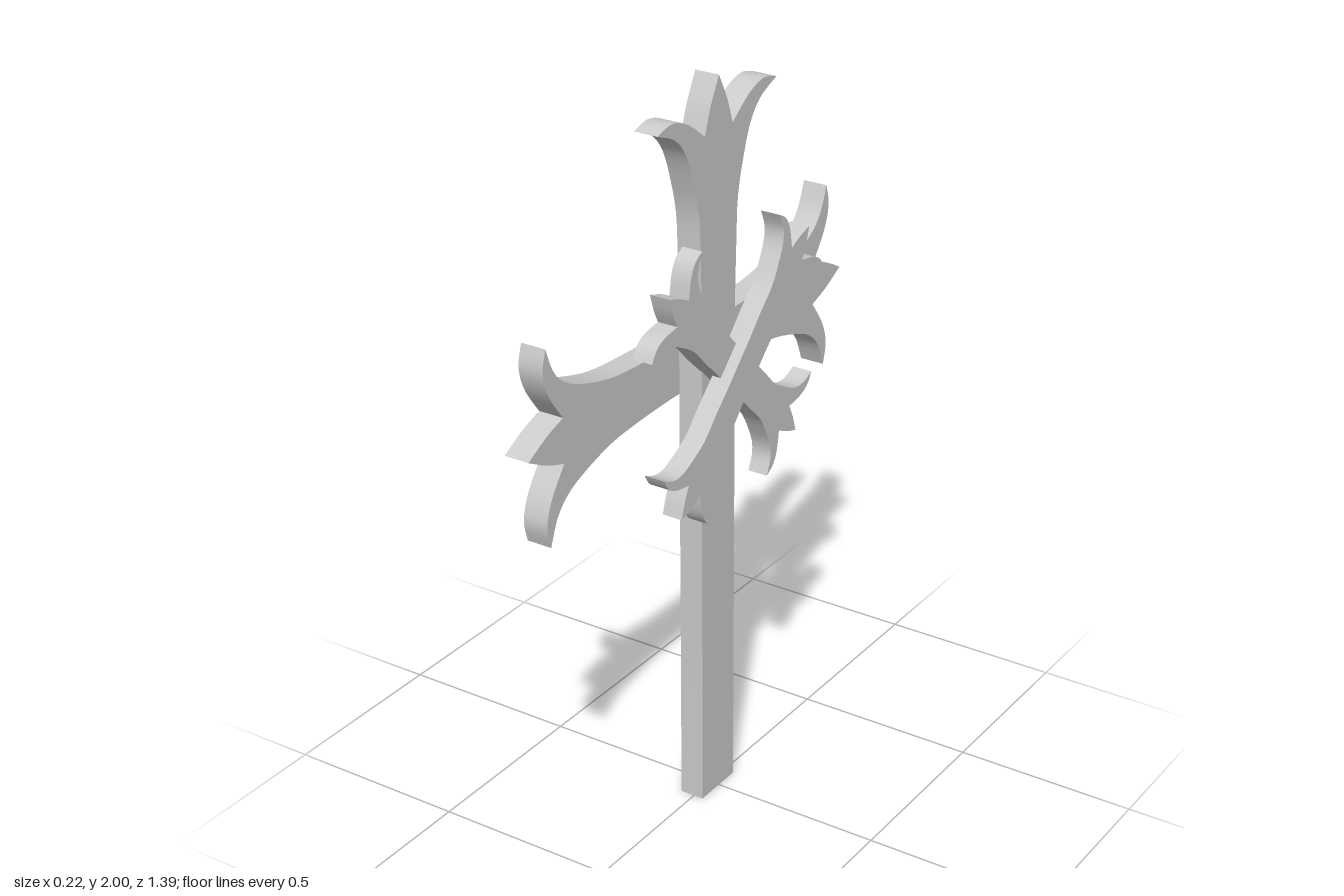
import * as THREE from 'three';
import { toCreasedNormals } from 'three/addons/utils/BufferGeometryUtils.js';

const CENTRE_Y = 1.25, CENTRE_Z = 0.005;
const material = new THREE.MeshStandardMaterial({ color: 0xcccccc });

const curve = (points, steps) =>
  new THREE.SplineCurve(points.map(([s, t]) => new THREE.Vector2(s, t))).getPoints(steps);

// Outline of a flared three-leaf arm end along +x, from its lower edge round to its upper edge
function armEnd(halfWidth, scale = 1, shift = 0) {
  const h = halfWidth / scale;
  const flare = curve([[0.12, h], [0.24, h + 0.004], [0.36, 0.085], [0.46, 0.11], [0.54, 0.142], [0.59, 0.188], [0.62, 0.258]], 20);
  const lobe = curve([[0.62, 0.258], [0.633, 0.2], [0.613, 0.135], [0.56, 0.06]], 10);
  const leaf = curve([[0.56, 0.06], [0.628, 0.036], [0.697, 0]], 6);
  const upper = [...flare, ...lobe.slice(1), ...leaf.slice(1)];
  const lower = upper.slice(0, -1).map(p => new THREE.Vector2(p.x, -p.y));
  return [...lower, ...upper.reverse()].map(p => new THREE.Vector2(p.x * scale + shift, p.y * scale));
}

// Flat bar cut from an outline, standing in the YZ plane between x0 and x1
function bar(name, outline, angle, x0, x1) {
  const geometry = new THREE.ExtrudeGeometry(new THREE.Shape(outline), { depth: x1 - x0, bevelEnabled: false });
  geometry.rotateZ(angle);
  geometry.rotateY(Math.PI / 2);
  const mesh = new THREE.Mesh(toCreasedNormals(geometry, 0.5), material);
  mesh.name = name;
  mesh.position.set(x0, CENTRE_Y, CENTRE_Z);
  return mesh;
}

// The same arm end at both ends of a bar
function doubleEnded(halfWidth, scale) {
  const end = armEnd(halfWidth, scale);
  return [...end, ...end.map(p => p.clone().negate())];
}

export function createModel() {
  const group = new THREE.Group();
  group.name = 'cross';

  // Upright: flared top, plain square foot
  const post = [...armEnd(0.075, 1, 0.053), new THREE.Vector2(-CENTRE_Y, 0.075), new THREE.Vector2(-CENTRE_Y, -0.075)];
  group.add(bar('post', post, Math.PI / 2, -0.04, 0.027));

  // Crossbar on one face of the post
  group.add(bar('crossbar', doubleEnded(0.071, 1), 0, -0.109, -0.04));

  // Two smaller diagonal bars on the other face
  const diagonal = doubleEnded(0.048, 0.585);
  group.add(bar('innerDiagonal', diagonal, -Math.PI / 4, 0.022, 0.078));
  group.add(bar('outerDiagonal', diagonal, Math.PI / 4, 0.053, 0.109));
  return group;
}
